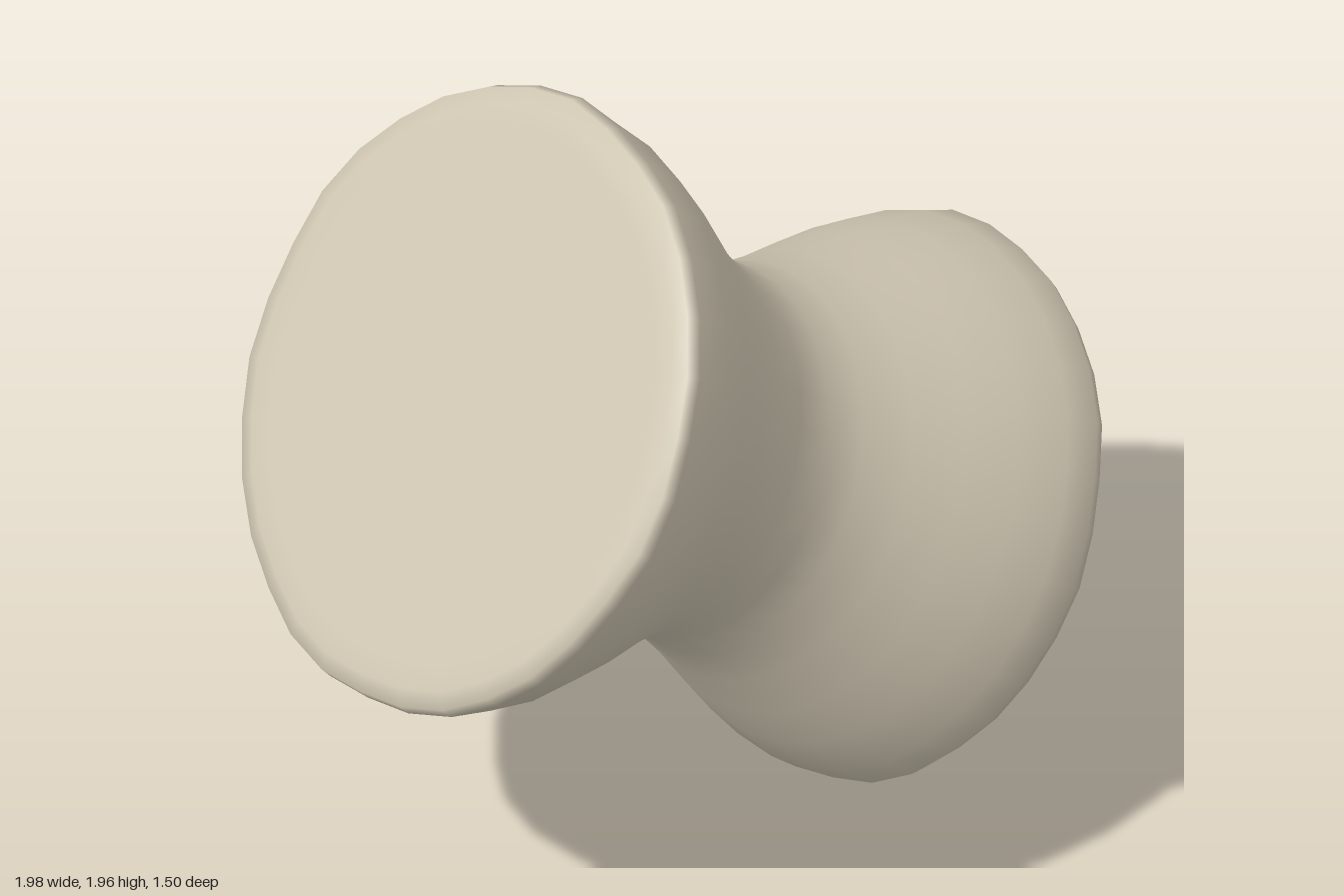
import * as THREE from 'three';

export function createModel() {
  const model = new THREE.Group();
  const stone = new THREE.MeshStandardMaterial({ color: 0xcdc4b0 });
  stone.name = 'warm stone';

  // [distance from the large end, radius], listed from the small end
  const profile = [
    [1.467, 0], [1.467, 0.56], [1.466, 0.62], [1.458, 0.662], [1.425, 0.68],
    [1.34, 0.668], [1.22, 0.624], [1.1, 0.57], [0.98, 0.513], [0.86, 0.468],
    [0.76, 0.452], [0.66, 0.463], [0.56, 0.498], [0.45, 0.553], [0.3, 0.646],
    [0.165, 0.719], [0.04, 0.752], [0.008, 0.742], [-0.002, 0.70], [-0.003, 0.64], [-0.003, 0],
  ].map(([t, r]) => new THREE.Vector2(r, 0.728 - t));

  // Flared spool with flat ends
  const geometry = new THREE.LatheGeometry(profile, 32);

  // Slightly uneven hand-worn rims
  const pos = geometry.attributes.position;
  const v = new THREE.Vector3();
  for (let i = 0; i < pos.count; i++) {
    v.fromBufferAttribute(pos, i);
    const a = Math.atan2(v.x, v.z);
    const rim = THREE.MathUtils.smoothstep(Math.abs(v.y), 0.55, 0.7);
    const k = 1 + rim * (0.005 * Math.sin(7 * a + 1) + 0.004 * Math.sin(11 * a + Math.sign(v.y)));
    pos.setXYZ(i, v.x * k, v.y, v.z * k);
  }

  const spool = new THREE.Mesh(geometry, stone);
  spool.name = 'spool';
  spool.rotation.z = 1.005;
  spool.position.set(0.012, 0.967, 0);
  model.add(spool);
  return model;
}
